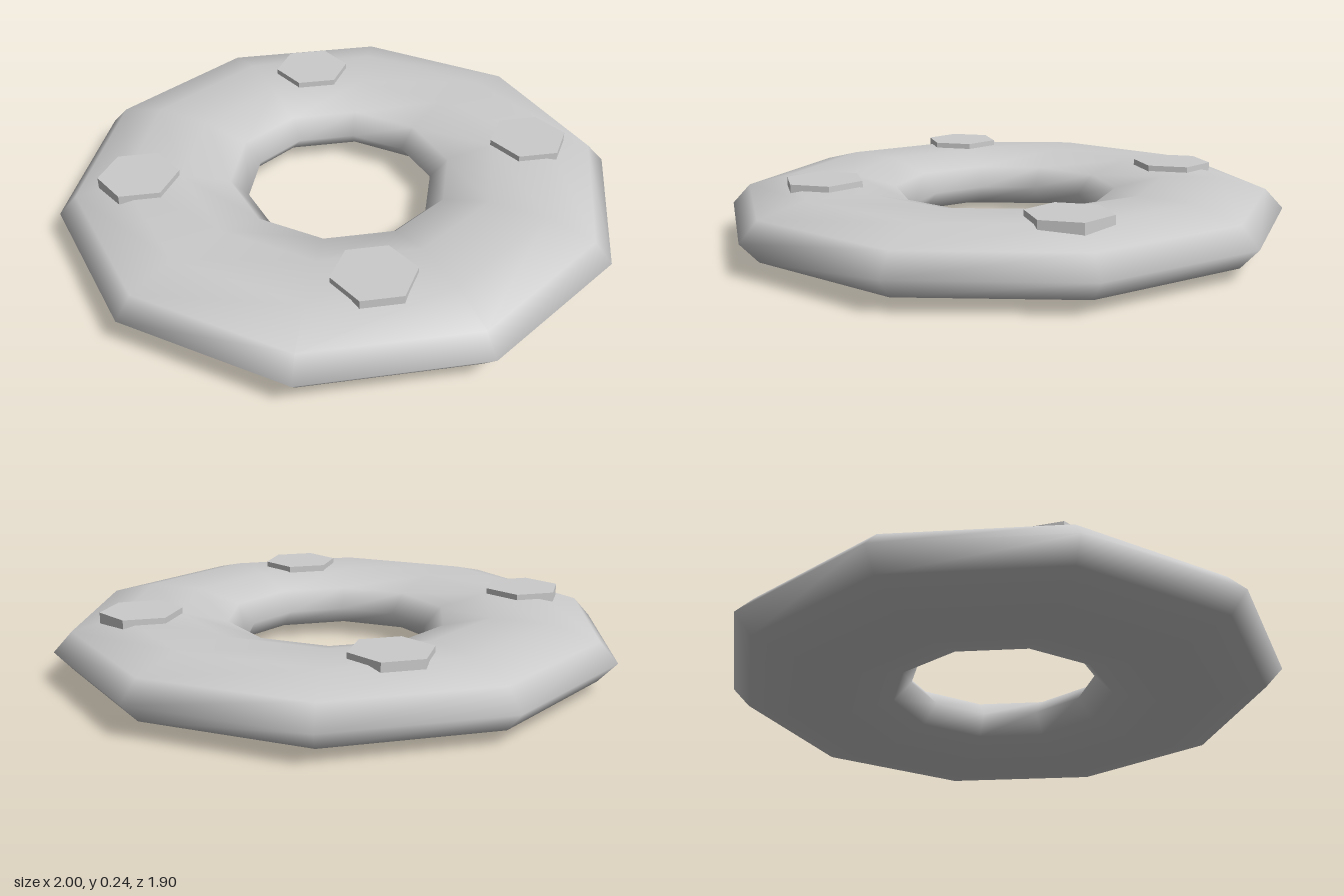
import * as THREE from 'three';

export function createModel() {
  const group = new THREE.Group();
  const material = new THREE.MeshStandardMaterial({ color: 0xcccccc });

  // Flattened ten-sided ring, smooth shaded, lying on the ground
  const ringGeometry = new THREE.TorusGeometry(0.667, 0.333, 10, 10);
  ringGeometry.rotateX(-Math.PI / 2);
  ringGeometry.scale(1, 0.353, 1);
  const ring = new THREE.Mesh(ringGeometry, material);
  ring.name = 'ring';
  ring.position.y = 0.112;
  group.add(ring);

  // Four hexagonal studs sunk slightly into the top face
  const flatMaterial = new THREE.MeshStandardMaterial({ color: 0xcccccc, flatShading: true });
  const studGeometry = new THREE.CylinderGeometry(0.141, 0.141, 0.043, 6);
  studGeometry.rotateY(Math.PI / 6); // corners point along x
  const studs = [
    ['frontStud', -0.005, 0.646],
    ['backStud', -0.005, -0.653],
    ['leftStud', 0.698, -0.007],
    ['rightStud', -0.713, -0.007],
  ];
  for (const [name, x, z] of studs) {
    const stud = new THREE.Mesh(studGeometry, flatMaterial);
    stud.name = name;
    stud.position.set(x, 0.2225, z);
    group.add(stud);
  }

  return group;
}
